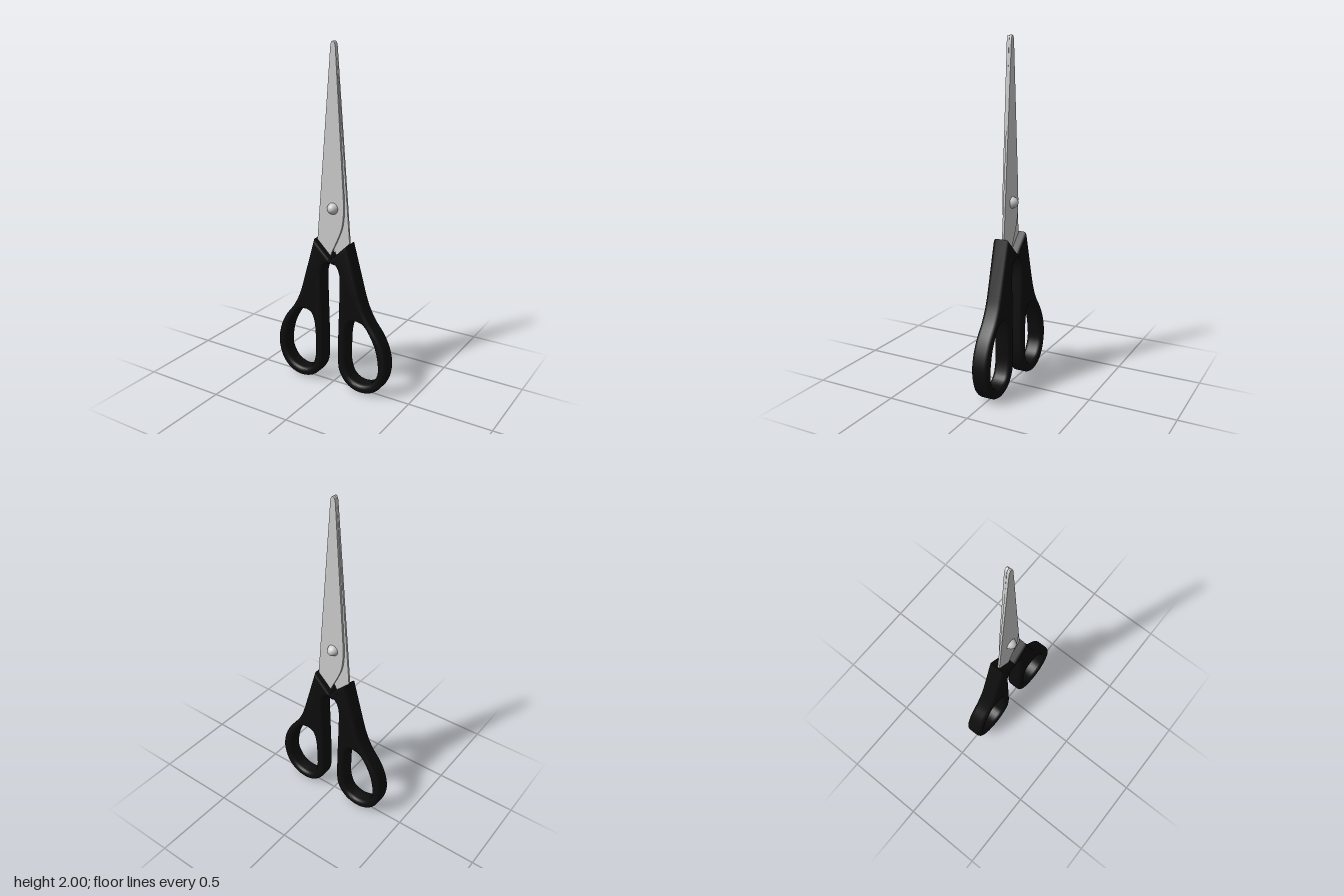
import * as THREE from 'three';
import { toCreasedNormals } from 'three/addons/utils/BufferGeometryUtils.js';

const pts = (list) => list.map(([x, y]) => new THREE.Vector2(x, y));

// Rounded handle with a finger loop, on the +x side
function handleGeometry() {
  const outline = new THREE.Shape();
  outline.moveTo(0.11, 0.9);
  outline.lineTo(-0.03, 0.765);
  outline.lineTo(0.005, 0.772);
  outline.splineThru(pts([
    [0.035, 0.76], [0.053, 0.725], [0.06, 0.67], [0.056, 0.5], [0.05, 0.3], [0.05, 0.16],
    [0.07, 0.085], [0.125, 0.025], [0.205, 0.003], [0.285, 0.025], [0.345, 0.09], [0.372, 0.19],
    [0.36, 0.285], [0.32, 0.375], [0.26, 0.455], [0.22, 0.53], [0.195, 0.6],
  ]));
  outline.lineTo(0.11, 0.9);

  const hole = new THREE.Path();
  hole.moveTo(0.17, 0.45);
  hole.splineThru(pts([
    [0.13, 0.43], [0.11, 0.36], [0.105, 0.25], [0.107, 0.16], [0.135, 0.085], [0.2, 0.057],
    [0.27, 0.08], [0.312, 0.145], [0.315, 0.215], [0.295, 0.31], [0.255, 0.39], [0.215, 0.438], [0.17, 0.45],
  ]));
  outline.holes.push(hole);

  const bevel = 0.022;
  const geometry = new THREE.ExtrudeGeometry(outline, {
    depth: 0.102 - 2 * bevel, curveSegments: 4, bevelSegments: 4,
    bevelSize: bevel, bevelOffset: -bevel, bevelThickness: bevel,
  });
  geometry.translate(0, 0, -0.051 + bevel);
  return toCreasedNormals(geometry, 0.7);
}

// Flat blade lying just in front of the middle plane, tang hidden in the -x handle
function bladeGeometry() {
  const s = new THREE.Shape();
  s.moveTo(-0.1, 0.88);
  s.lineTo(-0.085, 0.81);
  s.lineTo(-0.025, 0.79);
  s.lineTo(0, 0.845);
  s.splineThru(pts([[0.035, 0.92], [0.06, 0.99], [0.07, 1.08], [0.067, 1.18]]));
  s.lineTo(0.016, 1.97);
  s.quadraticCurveTo(0.012, 2, 0, 2);
  s.quadraticCurveTo(-0.012, 2, -0.015, 1.97);
  s.lineTo(-0.102, 0.9);
  s.closePath();
  const geometry = new THREE.ExtrudeGeometry(s, { depth: 0.013, curveSegments: 5, bevelEnabled: false });
  geometry.translate(0, 0, 0.0005);
  return toCreasedNormals(geometry, 0.5);
}

export function createModel() {
  const model = new THREE.Group();
  model.name = 'scissors';
  const steel = new THREE.MeshStandardMaterial({ color: 0xcccccc });
  const black = new THREE.MeshStandardMaterial({ color: 0x0d0d0d });
  const handle = handleGeometry();
  const blade = bladeGeometry();

  // Each half is the other one turned half a turn about the long axis
  const halves = [['left', 'back', Math.PI, 0], ['right', 'front', 0, Math.PI]];
  for (const [side, layer, bladeTurn, handleTurn] of halves) {
    const h = new THREE.Mesh(handle, black);
    h.name = side + 'Handle';
    h.rotation.y = handleTurn;
    const b = new THREE.Mesh(blade, steel);
    b.name = layer + 'Blade';
    b.rotation.y = bladeTurn;
    model.add(h, b);
  }

  // Domed pivot going through both blades
  const rivet = new THREE.Mesh(new THREE.SphereGeometry(1, 32, 20), steel);
  rivet.name = 'pivotRivet';
  rivet.scale.set(0.035, 0.035, 0.048);
  rivet.position.set(0, 1.09, 0);
  model.add(rivet);
  return model;
}
